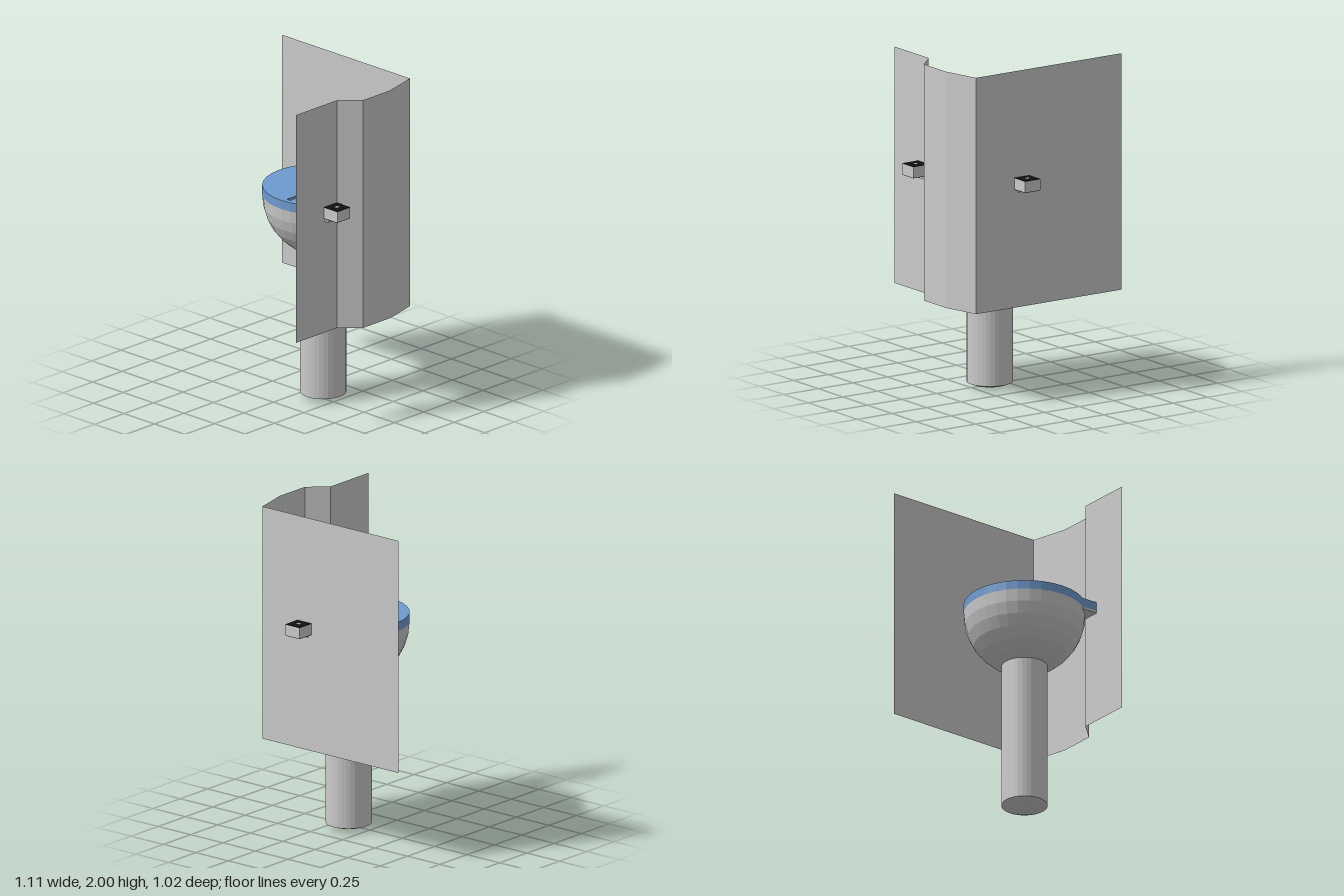
import * as THREE from 'three';

const CX = 0.137, CZ = -0.03, R = 0.36, SEG = 32;
const FLOOR = 1.28, TOP = 1.335;
const grey = new THREE.MeshStandardMaterial({ color: 0xcccccc, flatShading: true });
const thin = new THREE.MeshStandardMaterial({ color: 0xcccccc, flatShading: true, side: THREE.DoubleSide });
const blue = new THREE.MeshStandardMaterial({ color: 0x6f9bd0, flatShading: true });
const dark = new THREE.MeshStandardMaterial({ color: 0x111111, flatShading: true });

function add(parent, name, geometry, material, x = 0, y = 0, z = 0) {
  const mesh = new THREE.Mesh(geometry, material);
  mesh.name = name;
  mesh.position.set(x, y, z);
  parent.add(mesh);
  return mesh;
}

// Channel strips as [x0, x1, z0, z1] in thousandths
const CHANNELS = [
  [152, 179, -380, -219], [130, 179, -245, -219], [192, 313, -298, -272], [192, 218, -298, -50],
  [192, 264, -245, -219], [155, 218, -157, -130], [180, 264, -74, -50], [238, 264, -298, 233],
  [288, 313, -298, -139], [288, 409, -165, -139], [362, 388, -165, -9], [238, 388, -112, -86],
  [133, 264, -15, 15], [152, 179, -15, 292], [301, 327, -53, 148], [301, 427, 24, 50],
  [200, 327, 50, 77], [152, 412, 118, 148], [338, 362, 118, 186], [152, 430, 207, 233],
];

// Outlines of the merged strips, traced along the borders of filled grid cells
function traceChannels() {
  const sorted = (a) => [...new Set(a)].sort((p, q) => p - q);
  const xs = sorted(CHANNELS.flatMap((c) => [c[0], c[1]]));
  const zs = sorted(CHANNELS.flatMap((c) => [c[2], c[3]]));
  const filled = (i, j) => CHANNELS.some((c) =>
    xs[i] >= c[0] && xs[i + 1] <= c[1] && zs[j] >= c[2] && zs[j + 1] <= c[3]);
  const next = new Map();
  const edge = (a, b, c, d) => next.set(`${a},${b}`, `${c},${d}`);
  for (let i = 0; i < xs.length - 1; i++) {
    for (let j = 0; j < zs.length - 1; j++) {
      if (!filled(i, j)) continue;
      if (!filled(i, j - 1)) edge(i, j, i + 1, j);
      if (!filled(i + 1, j)) edge(i + 1, j, i + 1, j + 1);
      if (!filled(i, j + 1)) edge(i + 1, j + 1, i, j + 1);
      if (!filled(i - 1, j)) edge(i, j + 1, i, j);
    }
  }
  const loops = [];
  while (next.size) {
    let key = next.keys().next().value;
    const loop = [];
    while (next.has(key)) {
      const [i, j] = key.split(',').map(Number);
      loop.push(new THREE.Vector2(xs[i] / 1000, -zs[j] / 1000));
      const to = next.get(key);
      next.delete(key);
      key = to;
    }
    loops.push(loop);
  }
  return loops;
}

function discGeometry() {
  // Round outline with a square corner reaching the side outlet
  const outline = [];
  for (let i = 0; i < SEG; i++) {
    const a = (i / SEG) * Math.PI * 2;
    const deg = (a * 180) / Math.PI;
    if (deg > 303 && deg < 328) continue;
    if (deg >= 328 && outline.corner === undefined) {
      outline.corner = true;
      outline.push(new THREE.Vector2(0.337, -0.27), new THREE.Vector2(0.44, -0.27), new THREE.Vector2(0.44, -0.165));
    }
    outline.push(new THREE.Vector2(CX + R * Math.cos(a), -CZ + R * Math.sin(a)));
  }
  const disc = new THREE.Shape(outline);
  const shapes = [disc];
  for (const loop of traceChannels()) {
    // Outer borders cut the disc, inner borders are islands
    if (THREE.ShapeUtils.area(loop) < 0) disc.holes.push(new THREE.Path(loop));
    else shapes.push(new THREE.Shape(loop));
  }
  return new THREE.ExtrudeGeometry(shapes, { depth: TOP - FLOOR, bevelEnabled: false }).rotateX(-Math.PI / 2);
}

function wallGeometry() {
  const path = [[-0.555, -0.395], [0.495, -0.395], [0.55, -0.17], [0.55, 0.06], [0.44, 0.165], [0.44, 0.512]];
  const pos = [], index = [];
  path.forEach(([x, z], i) => {
    pos.push(x, 0.565, z, x, 2, z);
    const k = i * 2;
    if (i < path.length - 1) index.push(k, k + 2, k + 1, k + 1, k + 2, k + 3);
  });
  const g = new THREE.BufferGeometry();
  g.setAttribute('position', new THREE.Float32BufferAttribute(pos, 3));
  g.setIndex(index);
  g.computeVertexNormals();
  return g;
}

// Small box outside the wall, its neck pointing along +z
function outletBox() {
  const g = new THREE.Group();
  g.name = 'outletBox';
  add(g, 'boxBody', new THREE.BoxGeometry(0.11, 0.066, 0.11), grey, 0, 1.32, 0);
  for (const y of [1.286, 1.354]) add(g, 'boxCover', new THREE.BoxGeometry(0.109, 0.003, 0.109), dark, 0, y, 0);
  add(g, 'boxKnob', new THREE.BoxGeometry(0.026, 0.004, 0.018), grey, 0, 1.355, 0);
  add(g, 'boxNeck', new THREE.BoxGeometry(0.055, 0.05, 0.02), grey, 0, 1.315, 0.062);
  return g;
}

export function createModel() {
  const model = new THREE.Group();
  model.name = 'basinWithScreen';

  // Pillar with a shallow domed foot
  const pillar = [[0, 0.005], [0.05, 0.01], [0.1, 0.021], [0.137, 0.035], [0.137, 0.95]];
  add(model, 'pillar', new THREE.LatheGeometry(pillar.map((p) => new THREE.Vector2(...p)), SEG), grey, CX, 0, CZ);

  // Half-round bowl, closed by the channel floor
  const bowl = [new THREE.Vector2(0, 0.935)];
  for (let i = 0; i <= 6; i++) {
    const a = ((68 - (68 * i) / 6) * Math.PI) / 180;
    bowl.push(new THREE.Vector2(R * Math.cos(a), FLOOR - 0.372 * Math.sin(a)));
  }
  bowl.push(new THREE.Vector2(0, FLOOR));
  add(model, 'bowl', new THREE.LatheGeometry(bowl, SEG), grey, CX, 0, CZ);

  // Disc cut by the maze of channels
  add(model, 'channelDisc', discGeometry(), blue, 0, FLOOR, 0);

  // Folded screen wall
  add(model, 'screenWall', wallGeometry(), thin);

  // Outlets through the wall, with ledges below
  const back = outletBox();
  back.position.set(0.167, 0, -0.455);
  const side = outletBox();
  side.rotation.y = -Math.PI / 2;
  side.position.set(0.495, 0, 0.222);
  model.add(back, side);
  add(model, 'sideLedge', new THREE.BoxGeometry(0.13, 0.014, 0.1), grey, 0.405, 1.272, 0.222);
  add(model, 'backLedge', new THREE.BoxGeometry(0.055, 0.014, 0.025), grey, 0.167, 1.272, -0.398);
  return model;
}
